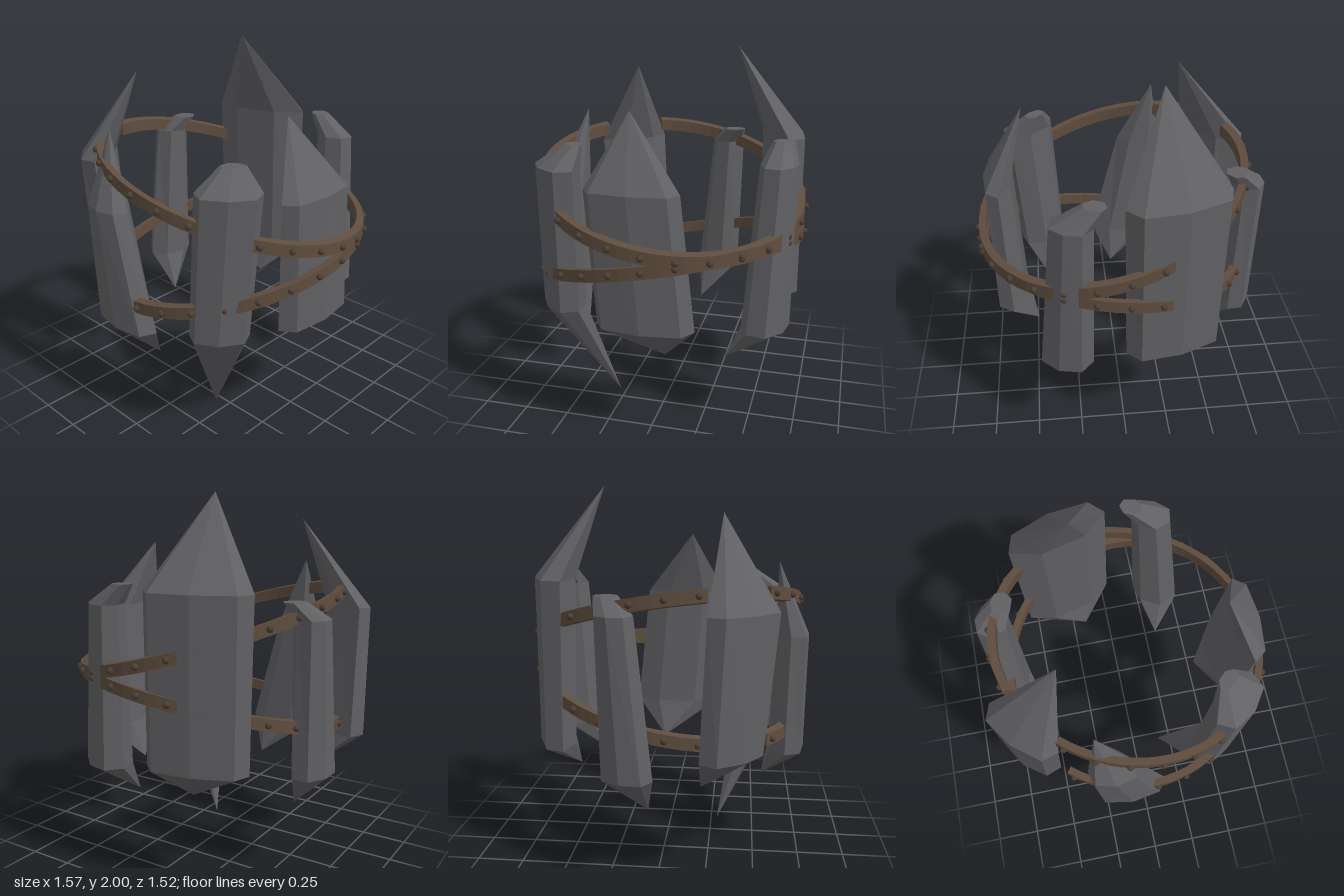
import * as THREE from 'three';

const stone = new THREE.MeshStandardMaterial({ color: 0x616164 });
stone.name = 'grey stone';
stone.flatShading = true;
const leather = new THREE.MeshStandardMaterial({ color: 0x5f4d3e });
leather.name = 'brown band';
leather.flatShading = true;
const metal = new THREE.MeshStandardMaterial({ color: 0x4c3f35 });
metal.name = 'dark stud';

// Joins equal-length rings of points; the first and last rings are closed with fans
function loft(rings) {
  const pos = [];
  const tri = (a, b, c) => pos.push(...a, ...b, ...c);
  const n = rings[0].length;
  for (let r = 0; r < rings.length - 1; r++) {
    const a = rings[r], b = rings[r + 1];
    for (let i = 0; i < n; i++) {
      const j = (i + 1) % n;
      tri(a[i], a[j], b[i]);
      tri(a[j], b[j], b[i]);
    }
  }
  const first = rings[0], last = rings[rings.length - 1];
  for (let i = 1; i < n - 1; i++) {
    tri(first[0], first[i + 1], first[i]);
    tri(last[0], last[i], last[i + 1]);
  }
  const g = new THREE.BufferGeometry();
  g.setAttribute('position', new THREE.Float32BufferAttribute(pos, 3));
  g.computeVertexNormals();
  return g;
}

// Shared shard outline: [along the hoop, outward], each from -1 to 1
const OUTLINE = [[1, -0.2], [0.8, 0.7], [0, 1], [-0.8, 0.7], [-1, -0.2], [-0.45, -1], [0.45, -1]];

// Outline placed at a point, facing the angle, with half width and half depth
function section([x, y, z], angle, width, depth) {
  const c = Math.cos(angle), s = Math.sin(angle);
  return OUTLINE.map(([u, v]) => [
    x - s * u * width + c * v * depth, y, z + c * u * width + s * v * depth]);
}

// Shard from bottom tip through hip and shoulder to the top; blunt when cap > 0
function shard(name, angle, tip, hip, hipSize, shoulder, shoulderSize, top, cap = 0) {
  const mesh = new THREE.Mesh(loft([
    section(tip, angle, 0, 0),
    section(hip, angle, ...hipSize),
    section(shoulder, angle, ...shoulderSize),
    section(top, angle, shoulderSize[0] * cap, shoulderSize[1] * cap),
  ]), stone);
  mesh.name = name;
  return mesh;
}

// Open tilted hoop: height follows the plane y = a + b*x + c*z
function hoop(name, a, b, c) {
  const group = new THREE.Group();
  group.name = name;
  const start = -3.496, end = 2.288, centreX = 0.03, steps = 64;
  const at = (t, r, dy = 0) => {
    const x = centreX + r * Math.cos(t), z = r * Math.sin(t);
    return [x, a + b * x + c * z + dy, z];
  };
  const rings = [];
  for (let i = 0; i <= steps; i++) {
    const t = start + (end - start) * i / steps;
    rings.push([at(t, 0.695, -0.033), at(t, 0.735, -0.033), at(t, 0.735, 0.033), at(t, 0.695, 0.033)]);
  }
  const strap = new THREE.Mesh(loft(rings), leather);
  strap.name = 'strap';
  group.add(strap);
  // Round studs along the outside of the strap
  const ball = new THREE.SphereGeometry(0.018, 10, 8);
  const studs = 26;
  for (let i = 0; i < studs; i++) {
    const stud = new THREE.Mesh(ball, metal);
    stud.name = 'stud';
    stud.position.set(...at(end - 0.06 - i * (end - start - 0.12) / (studs - 1), 0.738));
    group.add(stud);
  }
  return group;
}

export function createModel() {
  const model = new THREE.Group();
  model.name = 'shardCrown';
  model.add(
    shard('tallBackShard', -1.837, [-0.17, 0.46, -0.48], [-0.26, 0.64, -0.59], [0.27, 0.095],
      [-0.26, 1.53, -0.58], [0.28, 0.105], [-0.2, 2, -0.315]),
    shard('backLeftShard', -1.107, [0.28, 0.36, -0.36], [0.315, 0.58, -0.58], [0.145, 0.11],
      [0.27, 1.45, -0.615], [0.11, 0.085], [0.155, 1.555, -0.62], 0.55),
    shard('leftShard', 0, [0.47, 0.43, -0.07], [0.62, 0.645, 0], [0.26, 0.09],
      [0.645, 1.36, 0.055], [0.245, 0.075], [0.49, 1.73, 0.1]),
    shard('frontLeftShard', 0.816, [0.17, 0, 0.285], [0.425, 0.65, 0.515], [0.155, 0.1],
      [0.475, 1.43, 0.5], [0.165, 0.1], [0.43, 1.54, 0.42], 0.38),
    shard('frontShard', 1.57, [-0.015, 0.375, 0.54], [-0.105, 0.59, 0.675], [0.205, 0.095],
      [-0.2, 1.235, 0.685], [0.13, 0.085], [-0.27, 1.62, 0.6]),
    shard('frontRightShard', 2.392, [-0.51, 0.475, 0.22], [-0.63, 0.68, 0.375], [0.19, 0.1],
      [-0.615, 1.395, 0.43], [0.22, 0.09], [-0.375, 1.865, 0.315]),
    shard('rightShard', -2.855, [-0.54, 0.35, -0.05], [-0.685, 0.57, -0.14], [0.135, 0.09],
      [-0.685, 1.39, -0.19], [0.095, 0.085], [-0.61, 1.475, -0.24], 0.65),
  );
  model.add(hoop('upperHoop', 1.28, -0.256, 0.15));
  model.add(hoop('lowerHoop', 0.89, 0.14, -0.19));
  return model;
}
